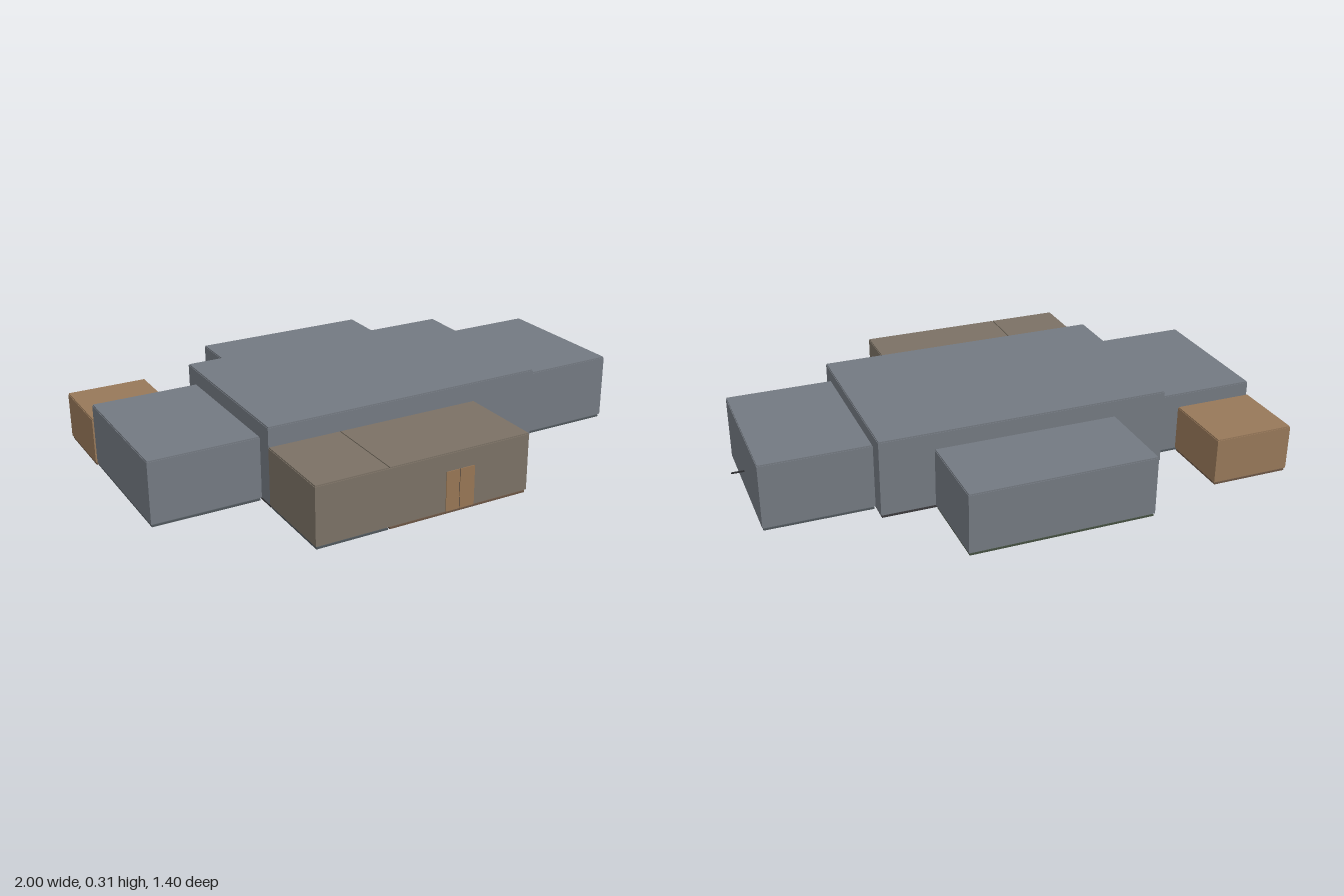
import * as THREE from 'three';

const mat = (name, color) => Object.assign(new THREE.MeshStandardMaterial({ color }), { name });

export function createModel() {
  const slate = mat('slate wall', 0x737981);
  const taupe = mat('taupe wall', 0x7b7165);
  const tan = mat('tan wall', 0x977859);
  const charcoal = mat('charcoal floor', 0x3a393b);
  const tile = mat('blue grey floor', 0x4f565b);
  const green = mat('green floor', 0x444f40);
  const wood = mat('wood floor', 0x6a5544);
  const doorWood = mat('door wood', 0x977655);
  const dark = mat('dark metal', 0x2c2d30);

  const model = new THREE.Group();
  model.name = 'floorPlanBuilding';

  // Box given by its limits on each axis
  const slab = (parent, name, material, x0, x1, y0, y1, z0, z1) => {
    const mesh = new THREE.Mesh(new THREE.BoxGeometry(x1 - x0, y1 - y0, z1 - z0), material);
    mesh.position.set((x0 + x1) / 2, (y0 + y1) / 2, (z0 + z1) / 2);
    mesh.name = name;
    parent.add(mesh);
  };

  const T = 0.008; // wall thickness
  const BASE = 0.012; // walls start a little above the floor plate
  const INSET = 0.004;

  // Hollow room: floor plate, four thin walls and a roof plate
  const room = (name, wall, floor, x0, x1, z0, z1, h) => {
    const g = new THREE.Group();
    g.name = name;
    const top = h - 0.005;
    slab(g, 'floor', floor, x0 + INSET, x1 - INSET, 0, 0.007, z0 + INSET, z1 - INSET);
    slab(g, 'backWall', wall, x0, x1, BASE, top, z0, z0 + T);
    slab(g, 'frontWall', wall, x0, x1, BASE, top, z1 - T, z1);
    slab(g, 'rightWall', wall, x0, x0 + T, BASE, top, z0 + T, z1 - T);
    slab(g, 'leftWall', wall, x1 - T, x1, BASE, top, z0 + T, z1 - T);
    slab(g, 'roof', wall, x0 + INSET / 2, x1 - INSET / 2, top, h, z0 + INSET / 2, z1 - INSET / 2);
    model.add(g);
  };

  room('mainHall', slate, charcoal, -0.582, 0.54, -0.358, 0.352, 0.307);
  room('leftRoom', slate, tile, 0.54, 0.952, -0.288, 0.284, 0.262);
  room('rightRoom', slate, tile, -0.994, -0.582, -0.288, 0.284, 0.247);
  room('backRoom', slate, green, -0.376, 0.334, -0.698, -0.358, 0.241);
  room('frontRoom', taupe, wood, -0.303, 0.267, 0.352, 0.695, 0.233);
  room('frontSideRoom', taupe, tile, -0.582, -0.303, 0.352, 0.695, 0.233);
  room('cornerRoom', tan, wood, -1, -0.688, -0.584, -0.288, 0.19);

  // Entrance door of two leaves, set on the front wall
  const door = new THREE.Group();
  door.name = 'entranceDoor';
  slab(door, 'rightLeaf', doorWood, -0.078, -0.024, BASE, 0.163, 0.694, 0.698);
  slab(door, 'leftLeaf', doorWood, -0.022, 0.038, BASE, 0.163, 0.694, 0.698);
  slab(door, 'doorGap', dark, -0.024, -0.022, BASE, 0.163, 0.694, 0.697);
  model.add(door);

  // Small rod on the left end wall
  slab(model, 'wallRod', dark, 0.95, 1, 0.089, 0.094, -0.0025, 0.0025);

  return model;
}
